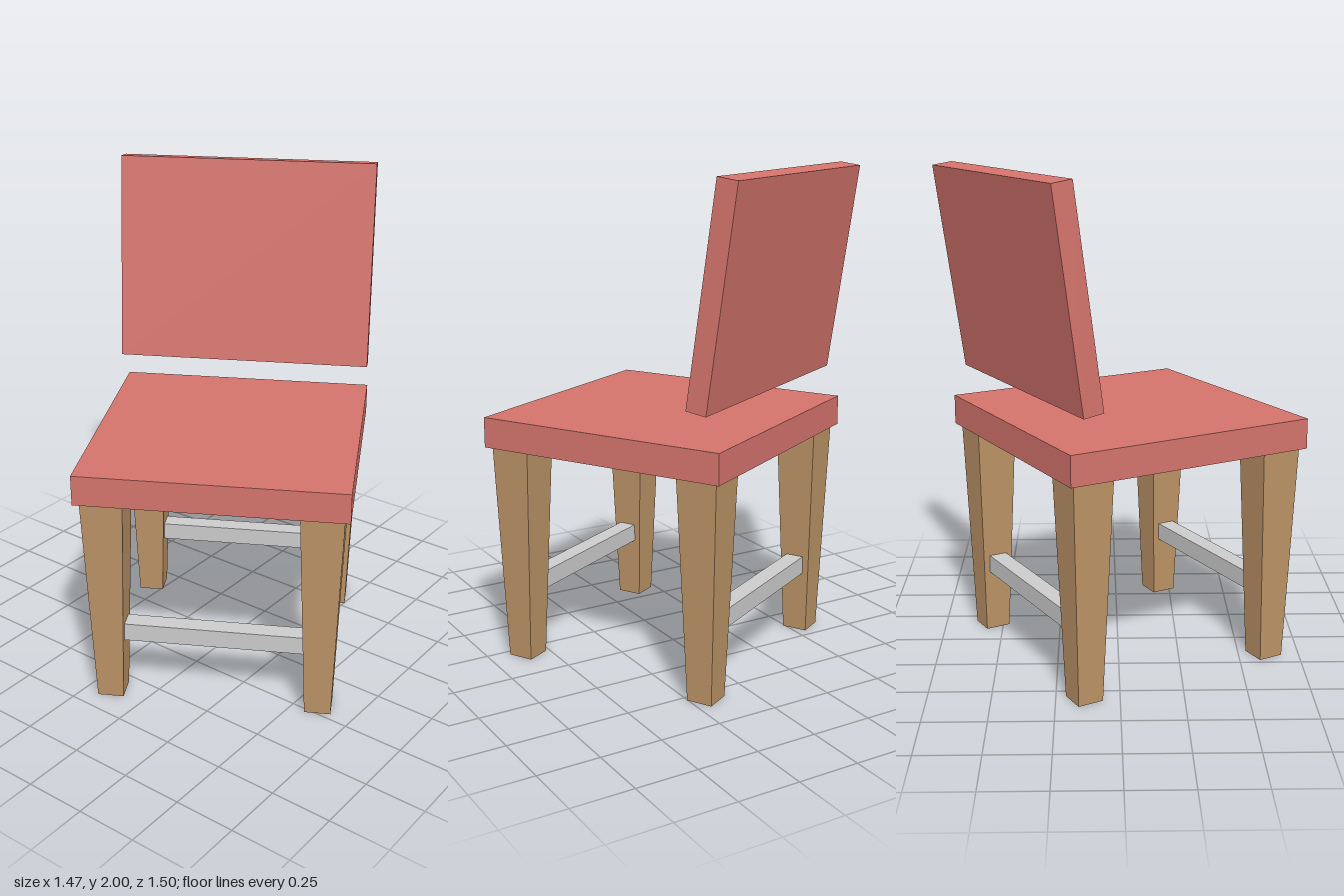
import * as THREE from 'three';

export function createModel() {
  const model = new THREE.Group();
  model.name = 'chair';

  const red = new THREE.MeshStandardMaterial({ color: 0xd4736c, flatShading: true });
  const wood = new THREE.MeshStandardMaterial({ color: 0xbb9366, flatShading: true });
  const grey = new THREE.MeshStandardMaterial({ color: 0xcccccc, flatShading: true });

  // the whole chair is turned about the vertical
  const chair = new THREE.Group();
  chair.name = 'chairBody';
  chair.position.set(0.012, 0, 0.03);
  chair.rotation.y = 0.5;
  model.add(chair);

  const add = (name, geometry, material, x, y, z) => {
    const mesh = new THREE.Mesh(geometry, material);
    mesh.name = name;
    mesh.position.set(x, y, z);
    chair.add(mesh);
    return mesh;
  };

  // seat slab
  const width = 1.061;
  add('seat', new THREE.BoxGeometry(width, 0.123, width), red, 0, 0.96, 0);

  // leaning backrest, floating above the seat
  const back = add('backrest', new THREE.BoxGeometry(width, 0.849, 0.085), red, 0, 1.574, -0.494);
  back.rotation.x = -0.143;

  // square legs, tapering towards the floor
  const legHeight = 0.9, inset = 0.424;
  const legGeometry = new THREE.CylinderGeometry(0.12, 0.075, legHeight, 4).rotateY(Math.PI / 4);
  const barGeometry = new THREE.BoxGeometry(2 * inset, 0.075, 0.075);
  for (const [end, sz] of [['front', 1], ['back', -1]]) {
    for (const [side, sx] of [['Left', 1], ['Right', -1]]) {
      add(end + side + 'Leg', legGeometry, wood, sx * inset, legHeight / 2, sz * inset);
    }
    // stretcher between the two legs
    add(end + 'Stretcher', barGeometry, grey, 0, 0.302, sz * inset);
  }

  return model;
}
